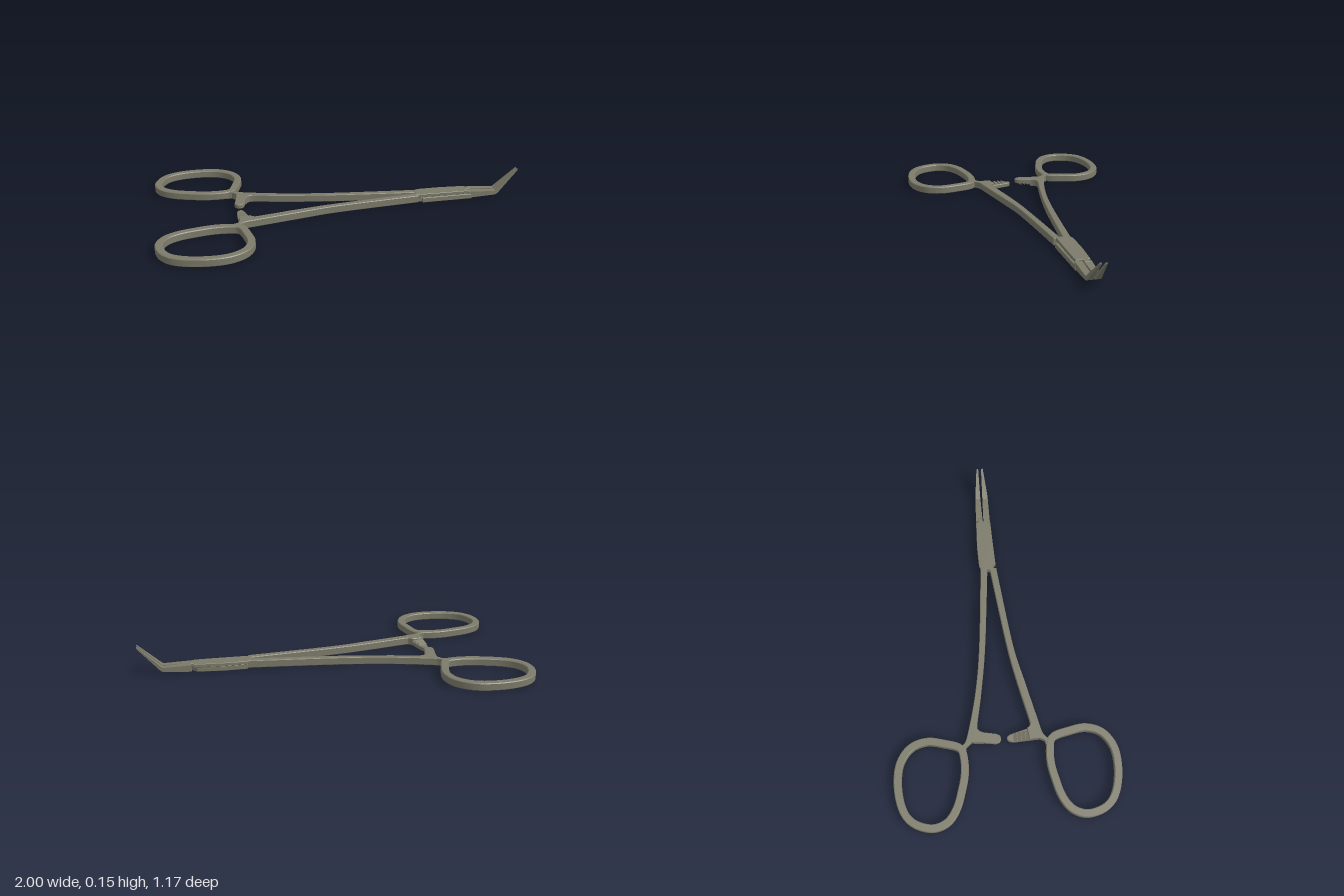
import * as THREE from 'three';
import { toCreasedNormals } from 'three/addons/utils/BufferGeometryUtils.js';

const steel = new THREE.MeshStandardMaterial({ color: 0x7c7b6a });
const vec = (pts) => pts.map(([x, z]) => new THREE.Vector2(x, z));
const smooth = (pts, n = 24) => new THREE.SplineCurve(vec(pts)).getPoints(n);

function addMesh(group, name, geometry) {
  const mesh = new THREE.Mesh(toCreasedNormals(geometry, 0.6), steel);
  mesh.name = name;
  group.add(mesh);
}

// Plate whose outline is drawn in x,z and which fills y0..y1
function plate(shape, y0, y1, bevel = 0.003) {
  const geo = new THREE.ExtrudeGeometry(shape, {
    depth: y1 - y0 - 2 * bevel, bevelEnabled: true, bevelThickness: bevel,
    bevelSize: bevel, bevelOffset: -bevel, bevelSegments: 1,
  });
  geo.rotateX(Math.PI / 2);
  geo.translate(0, y1 - bevel, 0);
  return geo;
}

// Finger ring: a band of constant width around a closed centre line
function fingerRing(side, shift) {
  const line = [[-0.98, -0.4], [-0.96, -0.47], [-0.925, -0.515], [-0.86, -0.548], [-0.745, -0.565],
    [-0.64, -0.55], [-0.565, -0.495], [-0.537, -0.415], [-0.55, -0.33], [-0.582, -0.238],
    [-0.63, -0.223], [-0.715, -0.222], [-0.8, -0.24], [-0.885, -0.267], [-0.947, -0.308], [-0.974, -0.355]];
  const curve = new THREE.CatmullRomCurve3(
    line.map(([x, z]) => new THREE.Vector3(x + shift, z * side, 0)), true);
  const outer = [], inner = [], n = 64;
  for (let i = 0; i < n; i++) {
    const p = curve.getPointAt(i / n), t = curve.getTangentAt(i / n);
    const outward = new THREE.Vector2(t.y, -t.x).multiplyScalar(0.02 * side);
    outer.push(new THREE.Vector2(p.x, p.y).add(outward));
    inner.push(new THREE.Vector2(p.x, p.y).sub(outward));
  }
  const shape = new THREE.Shape(outer);
  shape.holes.push(new THREE.Path(inner.reverse())); // the hole runs against the outline
  return plate(shape, 0.005, 0.045, 0.004);
}

// Loft of rectangular sections [x, yLow, yHigh, zBack, zFront]
function loft(sections) {
  const pos = [], index = [];
  for (const [x, y0, y1, z0, z1] of sections) {
    pos.push(x, y0, z0, x, y0, z1, x, y1, z1, x, y1, z0);
  }
  const quad = (a, b, c, d) => index.push(a, b, c, a, c, d);
  for (let s = 0; s < sections.length - 1; s++) {
    for (let k = 0; k < 4; k++) {
      const a = s * 4 + k, b = s * 4 + (k + 1) % 4;
      quad(a, a + 4, b + 4, b);
    }
  }
  const e = (sections.length - 1) * 4;
  quad(0, 1, 2, 3);
  quad(e + 3, e + 2, e + 1, e);
  const geo = new THREE.BufferGeometry();
  geo.setAttribute('position', new THREE.Float32BufferAttribute(pos, 3));
  geo.setIndex(index);
  return geo;
}

// Saw teeth across a locking tab; dir is +1 for teeth on top, -1 for underneath
function addTeeth(group, name, xc, zStart, step, y, dir) {
  for (let i = 0; i < 4; i++) {
    const z = zStart + i * step, h = 0.01 * dir;
    const tri = new THREE.Shape(vec([[z, y], [z + step, y], [z + step * 0.85, y + h]]));
    const width = 0.042 + i * 0.004;
    const geo = new THREE.ExtrudeGeometry(tri, { depth: width, bevelEnabled: false });
    geo.translate(0, 0, -width / 2);
    // turn the profile so that its x runs along z, keeping y up
    geo.rotateY(-Math.PI / 2);
    geo.translate(xc + i * 0.002, 0, 0);
    addMesh(group, name, geo);
  }
}

export function createModel() {
  const model = new THREE.Group();
  model.name = 'forceps';
  const back = new THREE.Group(), front = new THREE.Group();
  back.name = 'backHalf';
  front.name = 'frontHalf';
  model.add(back, front);

  // Finger rings
  addMesh(back, 'backRing', fingerRing(1, 0));
  addMesh(front, 'frontRing', fingerRing(-1, 0.037));

  // Shanks, from the neck at the ring to the joint
  addMesh(back, 'backShank', plate(new THREE.Shape([
    ...smooth([[-0.59, -0.245], [-0.565, -0.228], [-0.52, -0.203], [-0.29, -0.152], [-0.02, -0.12], [0.44, -0.094]]),
    ...smooth([[0.44, -0.056], [-0.02, -0.088], [-0.29, -0.121], [-0.455, -0.148], [-0.49, -0.141], [-0.503, -0.115]]),
    ...vec([[-0.558, -0.115], [-0.552, -0.18], [-0.575, -0.208], [-0.61, -0.212]]),
  ]), 0.004, 0.044));
  addMesh(front, 'frontShank', plate(new THREE.Shape([
    ...smooth([[-0.56, 0.24], [-0.545, 0.212], [-0.515, 0.188], [-0.45, 0.17], [-0.235, 0.113], [-0.02, 0.06], [0.43, -0.007]]),
    ...smooth([[0.43, -0.044], [-0.02, 0.026], [-0.235, 0.071], [-0.44, 0.123], [-0.475, 0.125], [-0.49, 0.11]]),
    ...vec([[-0.55, 0.12], [-0.548, 0.175], [-0.56, 0.197], [-0.59, 0.208]]),
  ]), 0.004, 0.044));

  // Locking tabs with facing teeth
  addMesh(back, 'backLockTab', plate(new THREE.Shape([
    ...vec([[-0.5, -0.14], [-0.503, -0.115]]),
    ...smooth([[-0.513, -0.055], [-0.522, -0.035], [-0.54, -0.028], [-0.558, -0.035], [-0.566, -0.055]], 12),
    ...vec([[-0.558, -0.115], [-0.555, -0.14]]),
  ]), 0.02, 0.044));
  addTeeth(back, 'backLockTooth', -0.537, -0.045, -0.021, 0.021, -1);
  addMesh(front, 'frontLockTab', plate(new THREE.Shape([
    ...vec([[-0.48, 0.14], [-0.49, 0.11]]),
    ...smooth([[-0.512, 0.035], [-0.522, 0.012], [-0.536, 0.003], [-0.552, 0.012], [-0.558, 0.035]], 12),
    ...vec([[-0.552, 0.115], [-0.55, 0.14]]),
  ]), 0.005, 0.028));
  addTeeth(front, 'frontLockTooth', -0.533, 0.035, 0.022, 0.027, 1);

  // Lap joint: upper plate on the back half, lower plate on the front half,
  // each with a small notch where it meets its shank or jaw
  addMesh(back, 'upperJointPlate', plate(new THREE.Shape(vec([
    [0.42, -0.09], [0.445, -0.102], [0.56, -0.109], [0.715, -0.108], [0.715, -0.096], [0.74, -0.096],
    [0.74, -0.072], [0.72, -0.068], [0.715, -0.035], [0.6, -0.028], [0.42, -0.02]])), 0.027, 0.045, 0.002));
  addMesh(front, 'lowerJointPlate', plate(new THREE.Shape(vec([
    [0.44, -0.098], [0.56, -0.106], [0.7, -0.1], [0.735, -0.064], [0.735, -0.028], [0.58, -0.018],
    [0.455, -0.009], [0.455, -0.026], [0.42, -0.024], [0.42, -0.044]])), 0, 0.027, 0.002));

  // Jaws, bent upward near the tips
  addMesh(back, 'backJaw', loft([
    [0.728, 0.006, 0.042, -0.108, -0.07], [0.872, 0.012, 0.034, -0.106, -0.077],
    [0.885, 0.018, 0.044, -0.105, -0.078], [1, 0.14, 0.148, -0.092, -0.082]]));
  addMesh(front, 'frontJaw', loft([
    [0.715, 0.004, 0.04, -0.066, -0.029], [0.872, 0.012, 0.034, -0.066, -0.035],
    [0.885, 0.018, 0.044, -0.066, -0.036], [1, 0.142, 0.151, -0.066, -0.056]]));
  return model;
}
